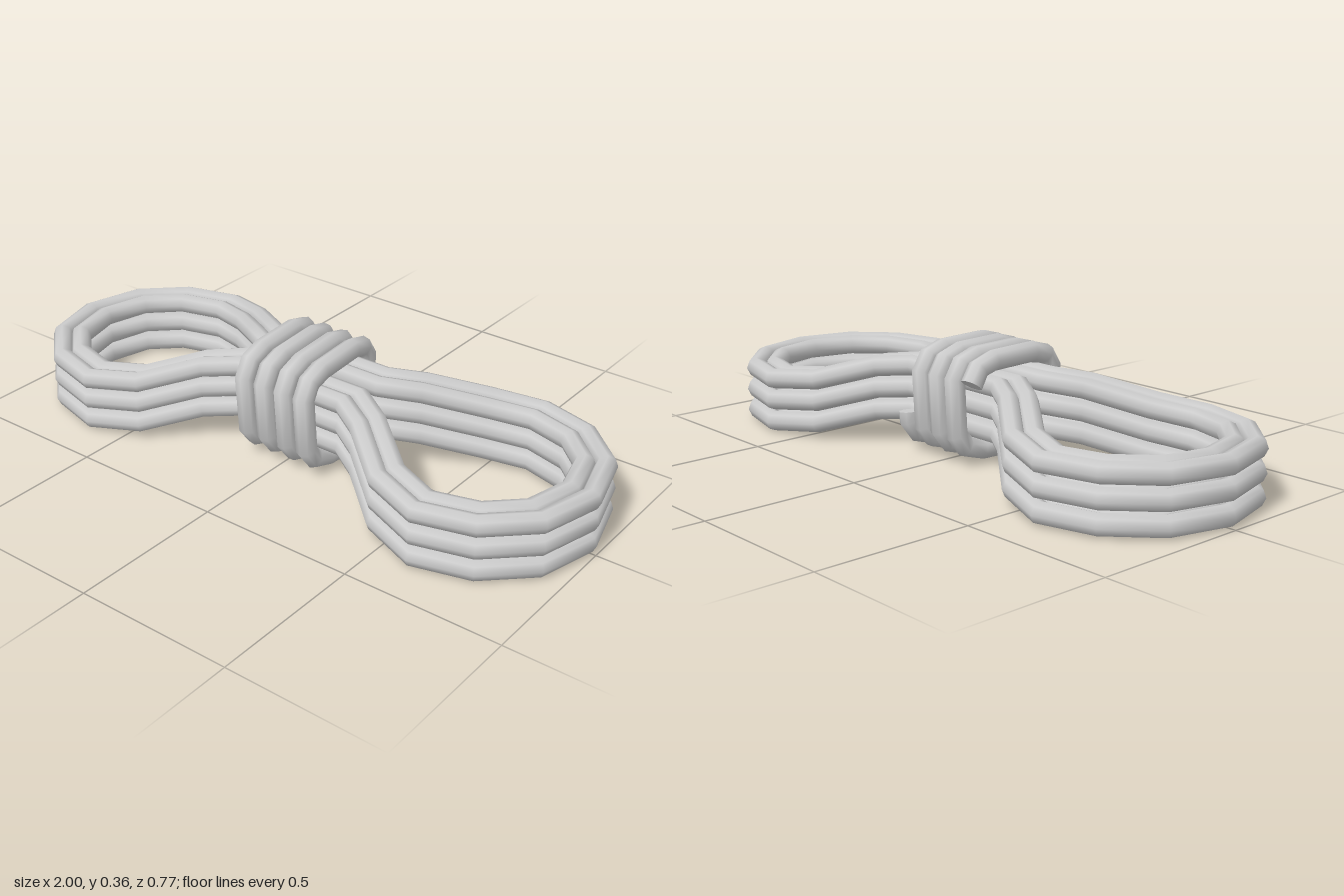
import * as THREE from 'three';

const R = 0.033;   // rope radius
const SIDES = 8;
const material = new THREE.MeshStandardMaterial({ color: 0xcccccc });

// A path with straight runs between its points, mitred at each corner
class Polyline extends THREE.Curve {
  constructor(points, closed) {
    super();
    this.points = points;
    this.closed = closed;
    this.count = closed ? points.length : points.length - 1;
  }
  at(i) {
    const n = this.points.length;
    return this.points[this.closed ? (i + n) % n : THREE.MathUtils.clamp(i, 0, n - 1)];
  }
  getPoint(t, target = new THREE.Vector3()) {
    const i = Math.floor(t * this.count + 1e-6);
    return target.lerpVectors(this.at(i), this.at(i + 1), Math.max(0, t * this.count - i));
  }
  getPointAt(t, target) { return this.getPoint(t, target); }
  getTangentAt(t, target = new THREE.Vector3()) {
    const i = Math.round(t * this.count), p = this.at(i);
    const before = p.clone().sub(this.at(i - 1)).normalize();
    const after = this.at(i + 1).clone().sub(p).normalize();
    return target.addVectors(before, after).normalize();
  }
}

function rope(name, points, closed) {
  const path = new Polyline(points, closed);
  const mesh = new THREE.Mesh(new THREE.TubeGeometry(path, path.count, R, SIDES, closed), material);
  mesh.name = name;
  return mesh;
}

// Quarter outlines of the two loops, from the neck to the far end: x, z, lift
const quarters = {
  outer: [[0.2, 0.108, 0.08], [0.305, 0.172, 0.069], [0.46, 0.297, 0.017], [0.62, 0.35, 0],
    [0.79, 0.303, 0], [0.918, 0.182, 0], [0.967, 0, 0]],
  inner: [[0.215, 0.046, 0.08], [0.325, 0.115, 0.066], [0.48, 0.237, 0.014], [0.62, 0.285, 0],
    [0.766, 0.245, 0], [0.865, 0.15, 0], [0.903, 0, 0]],
};

// Mirror a quarter outline into a full figure-of-eight coil
function coilPoints(quarter, y) {
  const side = (sx, sz) => quarter.map(([x, z, lift]) => new THREE.Vector3(sx * x, y + lift, sz * z));
  return [
    ...side(1, 1),
    ...side(1, -1).reverse().slice(1),
    ...side(-1, -1),
    ...side(-1, 1).reverse().slice(1),
  ];
}

// Binding: a rounded rectangle section (z, y) wound along x
function bindingPoints() {
  const section = [[-0.175, 0.265], [-0.145, 0.309], [-0.085, 0.325], [0.085, 0.325], [0.145, 0.309],
    [0.175, 0.265], [0.175, 0.1], [0.145, 0.059], [0.085, 0.043], [-0.085, 0.043],
    [-0.145, 0.059], [-0.175, 0.1]];
  const points = [];
  const turns = 4, pitch = 0.075;
  let x = -0.15;
  let perimeter = 0;
  section.forEach(([z, y], i) => {
    const [z2, y2] = section[(i + 1) % section.length];
    perimeter += Math.hypot(z2 - z, y2 - y);
  });
  for (let i = 0; i < turns * section.length; i++) {
    const [z, y] = section[i % section.length];
    const [z2, y2] = section[(i + 1) % section.length];
    points.push(new THREE.Vector3(x, y, z));
    x += pitch * Math.hypot(z2 - z, y2 - y) / perimeter;
  }
  // short tail running up the back
  const last = points[points.length - 1];
  points.push(last.clone().add(new THREE.Vector3(0.003, 0.03, 0)));
  return points;
}

// Flat cut faces at both ends of an open rope
function ropeEnds(points) {
  const path = new Polyline(points, false);
  const frames = path.computeFrenetFrames(path.count, false);
  return [[0, -1], [path.count, 1]].map(([i, s]) => {
    const cap = new THREE.Mesh(new THREE.CircleGeometry(R, SIDES), material);
    const basis = new THREE.Matrix4().makeBasis(
      frames.normals[i],
      frames.binormals[i].clone().multiplyScalar(s),
      frames.tangents[i].clone().multiplyScalar(s));
    cap.quaternion.setFromRotationMatrix(basis);
    cap.position.copy(points[i]);
    cap.name = s < 0 ? 'bindingStart' : 'bindingEnd';
    return cap;
  });
}

export function createModel() {
  const model = new THREE.Group();
  model.name = 'ropeCoil';

  // Three layers of an inner and an outer loop
  for (let layer = 0; layer < 3; layer++) {
    for (const [name, quarter] of Object.entries(quarters)) {
      model.add(rope(`${name}Loop${layer + 1}`, coilPoints(quarter, R + layer * 0.071), true));
    }
  }

  // Binding wrapped round the neck
  const points = bindingPoints();
  const binding = new THREE.Group();
  binding.name = 'binding';
  binding.add(rope('bindingRope', points, false), ...ropeEnds(points));
  model.add(binding);
  return model;
}
